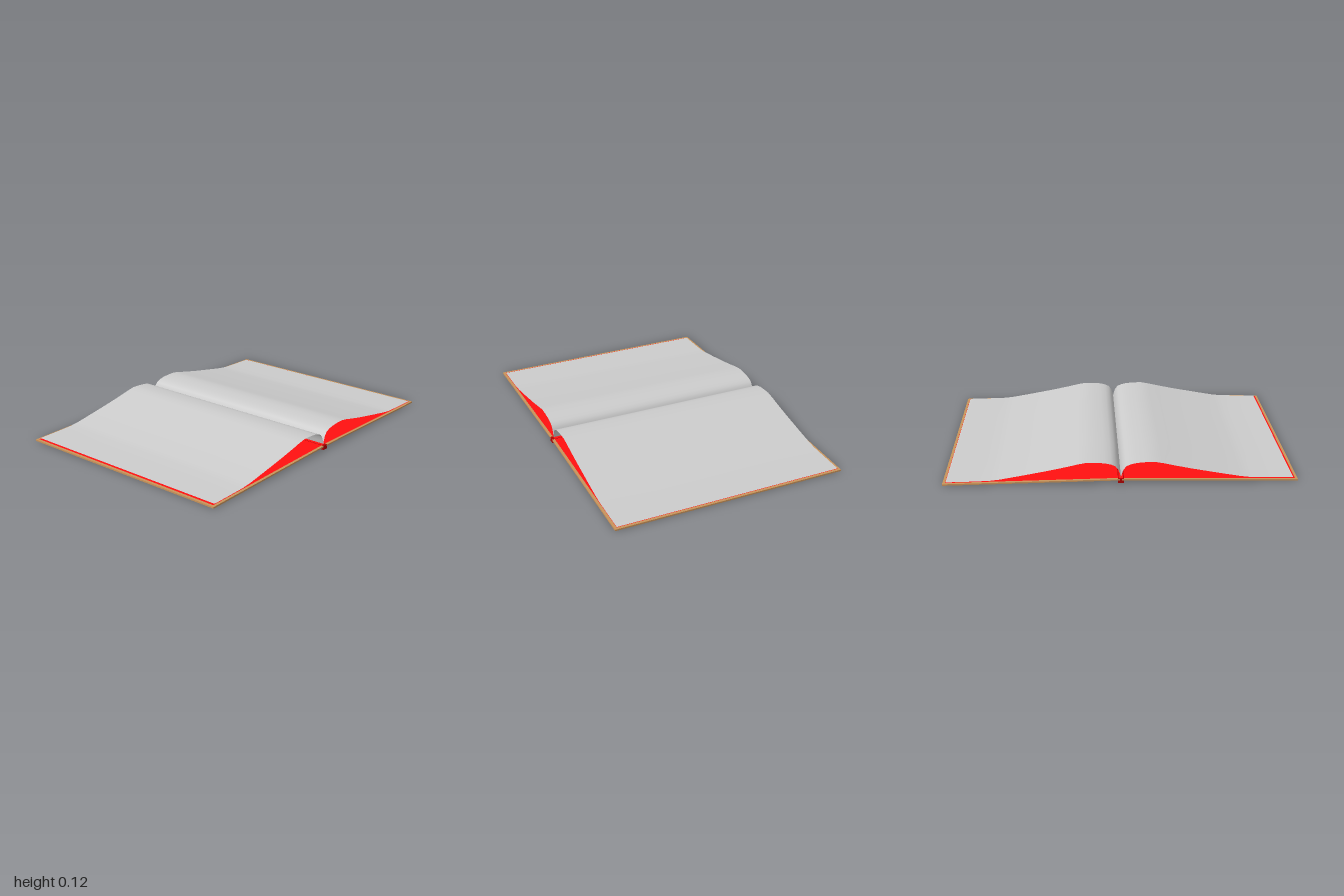
import * as THREE from 'three';

const paint = (color, side = THREE.FrontSide) => new THREE.MeshStandardMaterial({ color, side });

// Extrude an outline in the xy plane along z, centred on z = 0
function slab(name, points, depth, material) {
  const shape = new THREE.Shape(points.map(([x, y]) => new THREE.Vector2(x, y)));
  const geometry = new THREE.ExtrudeGeometry(shape, { depth, bevelEnabled: false });
  geometry.translate(0, 0, -depth / 2);
  const mesh = new THREE.Mesh(geometry, material);
  mesh.name = name;
  return mesh;
}

// Bend a plane so its cross-section follows the profile; left to right faces up
function sheet(name, profile, depth, material) {
  const geometry = new THREE.PlaneGeometry(1, depth, profile.length - 1, 4);
  geometry.rotateX(-Math.PI / 2);
  const pos = geometry.attributes.position;
  for (let i = 0; i < pos.count; i++) {
    const [x, y] = profile[i % profile.length];
    pos.setXY(i, x, y);
  }
  geometry.computeVertexNormals();
  const mesh = new THREE.Mesh(geometry, material);
  mesh.name = name;
  return mesh;
}

export function createModel() {
  const book = new THREE.Group();
  book.name = 'openBook';

  const coverMat = paint(0xc8935a);
  const liningMat = paint(0xff1010, THREE.DoubleSide);
  const pageMat = paint(0xcccccc, THREE.DoubleSide);

  // Half of the open page curve, from the gutter to the fore edge
  const curve = [
    [0, 0.03], [0.005, 0.05], [0.014, 0.075], [0.03, 0.096], [0.055, 0.108], [0.09, 0.116],
    [0.14, 0.12], [0.19, 0.121], [0.24, 0.112], [0.3, 0.098], [0.4, 0.077], [0.55, 0.049],
    [0.68, 0.026], [0.74, 0.019], [0.85, 0.016], [0.975, 0.014], [0.983, 0.011],
  ];

  for (const [side, s] of [['left', 1], ['right', -1]]) {
    // Boards slope down from the spine to the fore edge
    const outline = [[0.005, 0.017], [1, 0], [1, 0.009], [0.005, 0.025]].map(([x, y]) => [s * x, y]);
    book.add(slab(side + 'Cover', outline, 1.4, coverMat));

    // Lining on the inside of the board
    const lining = [[0, 0.0262], [0.985, 0.0102]].map(([x, y]) => [s * x, y]);
    // Bowed page surface, open at head and foot
    const page = (s > 0 ? curve : curve.slice(0, -1)).map(([x, y]) => [s * x, y]);
    if (s < 0) {
      lining.reverse();
      page.reverse();
    }
    book.add(sheet(side + 'Lining', lining, 1.37, liningMat));
    book.add(sheet(side + 'Pages', page, 1.37, pageMat));
  }

  // Spine strip between the boards
  const spine = new THREE.Mesh(new THREE.BoxGeometry(0.034, 0.026, 1.4), paint(0xb00000));
  spine.name = 'spine';
  spine.position.y = 0.013;
  book.add(spine);

  return book;
}
